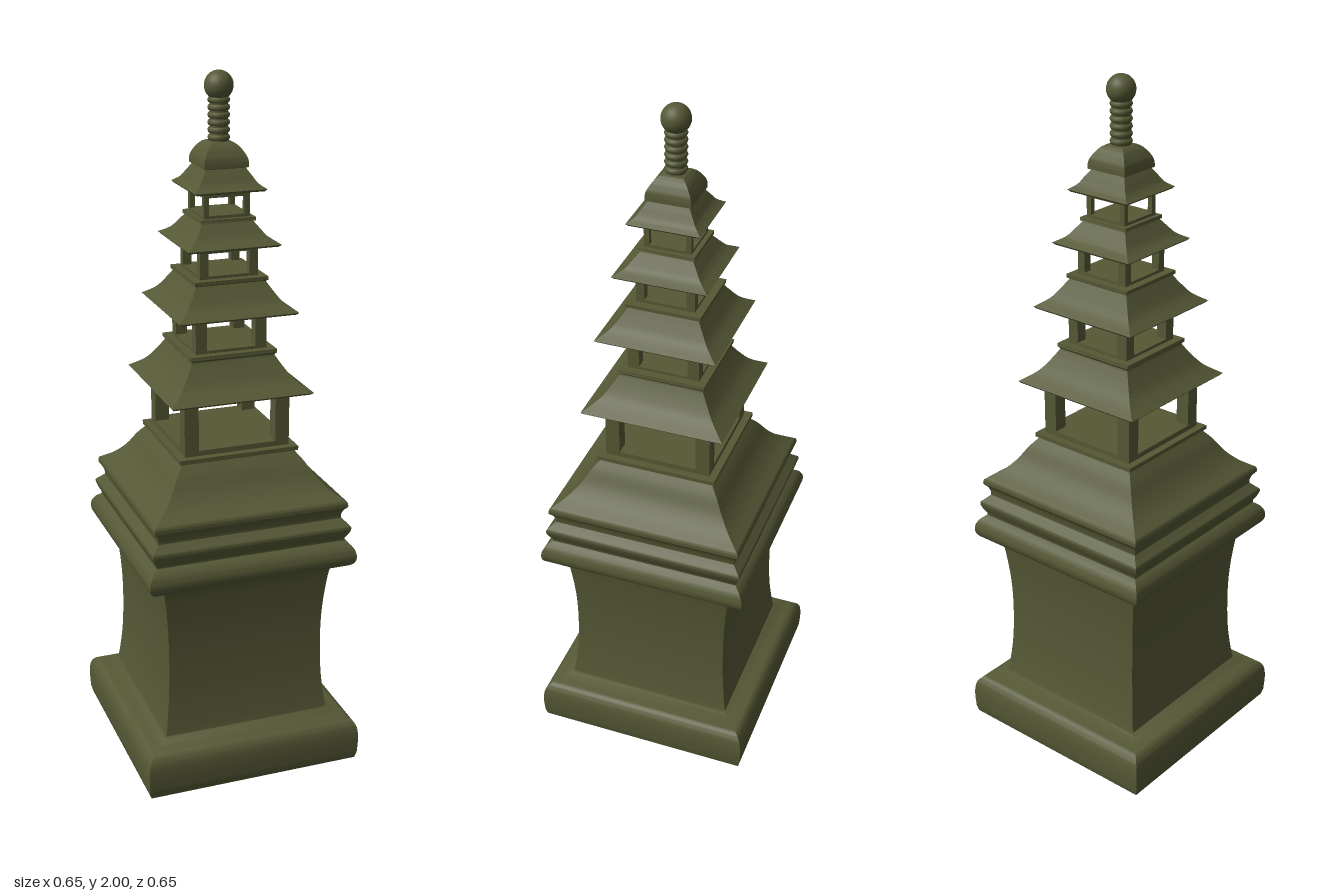
import * as THREE from 'three';
import { toCreasedNormals } from 'three/addons/utils/BufferGeometryUtils.js';

const olive = new THREE.MeshStandardMaterial({ color: 0x555835 });
olive.name = 'olive stone';

// Smooth curve through [halfWidth, y] points
const curve = (pts, n = 4) =>
  new THREE.SplineCurve(pts.map(([x, y]) => new THREE.Vector2(x, y))).getPoints((pts.length - 1) * n).map((p) => [p.x, p.y]);

// Square solid whose half width follows a profile from bottom to top
function squareSolid(name, profile) {
  const pts = [[0, profile[0][1]], ...profile, [0, profile[profile.length - 1][1]]];
  const geo = new THREE.LatheGeometry(pts.map(([w, y]) => new THREE.Vector2(Math.max(w, 0) * Math.SQRT2, y)), 4);
  geo.rotateY(Math.PI / 4);
  return named(name, toCreasedNormals(geo, 0.7));
}

function named(name, geo) {
  const mesh = new THREE.Mesh(geo, olive);
  mesh.name = name;
  return mesh;
}

// One open storey: floor slab, four corner posts, lintel frame and curved roof
function storey(name, { y0, y1, post, inner, eave, lipY, lip, last }) {
  const g = new THREE.Group();
  g.name = name;
  const slab = 0.015;
  g.add(squareSolid('floor', [[post, y0], [post, y0 + slab]]));
  const t = post - inner;
  const h = y1 - y0;
  for (const sx of [-1, 1]) for (const sz of [-1, 1]) {
    const p = named('post', new THREE.BoxGeometry(t, h, t));
    p.position.set(sx * (post - t / 2), y0 + h / 2, sz * (post - t / 2));
    g.add(p);
  }
  g.add(squareSolid('lintel', [[post, y1 - slab], [post, y1 + 0.003]]));
  const d = eave - lip;
  const r = lipY - y1;
  const slope = curve([
    [eave, y1 + 0.006], [lip + d * 0.5, y1 + r * 0.3],
    [lip + d * 0.18, y1 + r * 0.58], [lip - 0.006, y1 + r * 0.86],
  ]);
  const top = last || [[lip, lipY - 0.01], [lip, lipY]];
  g.add(squareSolid('roof', [[eave - 0.006, y1], ...slope, ...top]));
  return g;
}

export function createModel() {
  const model = new THREE.Group();
  model.name = 'pagoda tower';

  // Plinth with rounded top edge
  model.add(squareSolid('plinth', [
    [0.318, 0], ...curve([[0.323, 0.02], [0.325, 0.07], [0.32, 0.108], [0.304, 0.128], [0.275, 0.138], [0.252, 0.15]]),
  ]));

  // Waisted main shaft
  model.add(squareSolid('shaft', curve([
    [0.252, 0.14], [0.245, 0.18], [0.236, 0.27], [0.233, 0.38], [0.236, 0.48], [0.246, 0.58], [0.256, 0.63],
  ])));

  // Stacked cornice mouldings
  model.add(squareSolid('cornice', [
    ...curve([[0.25, 0.615], [0.285, 0.625], [0.305, 0.643], [0.307, 0.67], [0.296, 0.692], [0.28, 0.705]]),
    ...curve([[0.28, 0.712], [0.29, 0.73], [0.294, 0.748], [0.283, 0.76], [0.271, 0.772]]),
    ...curve([[0.271, 0.782], [0.276, 0.797], [0.286, 0.81], [0.284, 0.824]]),
    ...curve([[0.279, 0.828], [0.245, 0.852], [0.215, 0.885], [0.19, 0.925], [0.168, 0.953]]),
    [0.176, 0.957], [0.176, 0.969],
  ]));

  // Four open storeys, shrinking upwards
  model.add(
    storey('first storey', { y0: 0.969, y1: 1.128, post: 0.155, inner: 0.114, eave: 0.207, lipY: 1.247, lip: 0.127 }),
    storey('second storey', { y0: 1.24, y1: 1.353, post: 0.104, inner: 0.071, eave: 0.173, lipY: 1.452, lip: 0.107 }),
    storey('third storey', { y0: 1.445, y1: 1.538, post: 0.084, inner: 0.06, eave: 0.134, lipY: 1.614, lip: 0.079 }),
    storey('fourth storey', {
      y0: 1.607, y1: 1.686, post: 0.066, inner: 0.051, eave: 0.103, lipY: 1.755, lip: 0.063,
      last: curve([[0.064, 1.748], [0.062, 1.77], [0.052, 1.79], [0.04, 1.805], [0.03, 1.812]]),
    }),
  );

  // Ringed finial with ball
  const finial = new THREE.Group();
  finial.name = 'finial';
  const rod = named('rod', new THREE.CylinderGeometry(0.024, 0.026, 0.14, 20));
  rod.position.y = 1.865;
  finial.add(rod);
  for (let i = 0; i < 6; i++) {
    const ring = named('ring', new THREE.TorusGeometry(0.022, 0.009, 8, 24));
    ring.rotation.x = Math.PI / 2;
    ring.position.y = 1.822 + i * 0.02;
    finial.add(ring);
  }
  const ball = named('ball', new THREE.SphereGeometry(0.04, 24, 16));
  ball.position.y = 1.96;
  finial.add(ball);
  model.add(finial);

  return model;
}
